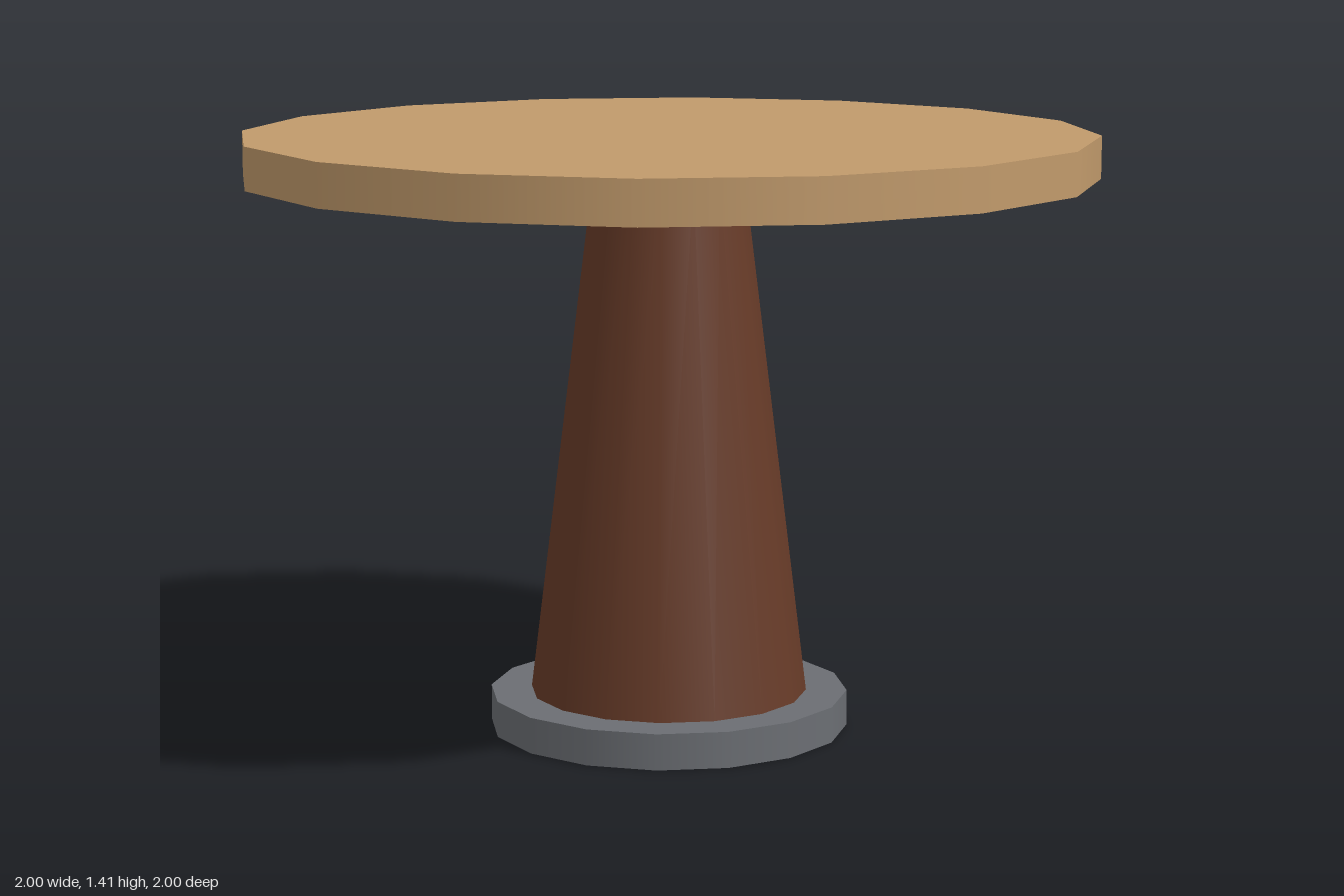
import * as THREE from 'three';

const SIDES = 16;

export function createModel() {
  const group = new THREE.Group();
  const material = (name, color) => {
    const m = new THREE.MeshStandardMaterial({ color });
    m.name = name;
    return m;
  };
  const lightWood = material('light wood', 0xc19a6b);
  const darkWood = material('dark wood', 0x673b28);
  const greyMetal = material('grey metal', 0x6b6e73);

  // Smooth-sided disc or taper standing between two heights
  const addRound = (name, rTop, rBottom, y0, y1, mat) => {
    const mesh = new THREE.Mesh(new THREE.CylinderGeometry(rTop, rBottom, y1 - y0, SIDES), mat);
    mesh.name = name;
    mesh.position.y = (y0 + y1) / 2;
    group.add(mesh);
  };

  addRound('basePlate', 0.425, 0.425, 0, 0.085, greyMetal);
  addRound('pedestal', 0.177, 0.328, 0.085, 1.31, darkWood);
  addRound('tableTop', 1, 1, 1.31, 1.41, lightWood);

  return group;
}
